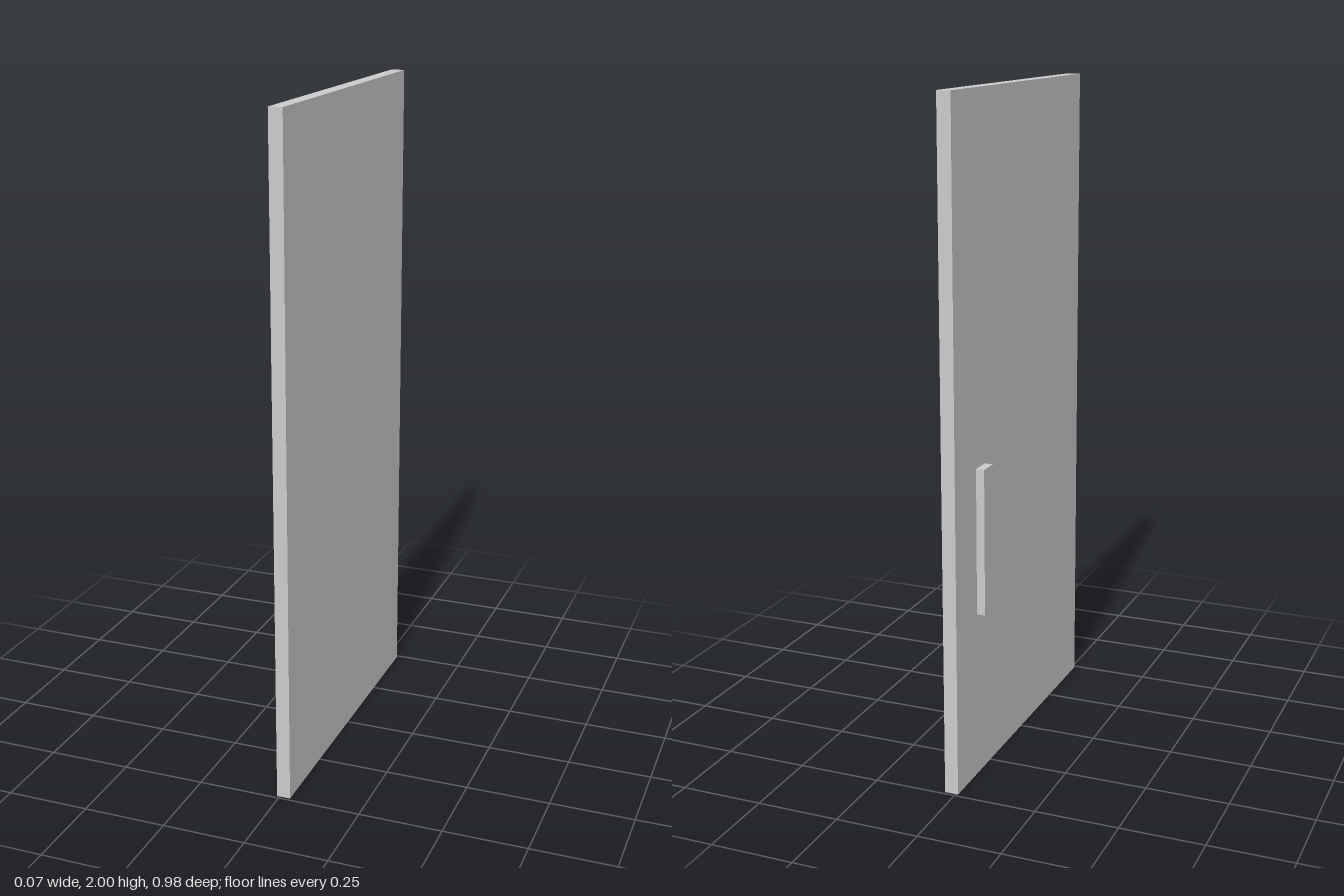
import * as THREE from 'three';

const material = new THREE.MeshStandardMaterial({ color: 0xcccccc, flatShading: true });

// Box given by its lower and upper limits on each axis
function block(name, [x0, x1], [y0, y1], [z0, z1]) {
  const mesh = new THREE.Mesh(new THREE.BoxGeometry(x1 - x0, y1 - y0, z1 - z0), material);
  mesh.position.set((x0 + x1) / 2, (y0 + y1) / 2, (z0 + z1) / 2);
  mesh.name = name;
  return mesh;
}

export function createModel() {
  const door = new THREE.Group();
  door.name = 'door';

  // Flat door leaf
  door.add(block('doorPanel', [-0.008, 0.033], [0, 2], [-0.491, 0.491]));

  // Upright pull bar on the -x face, near the back edge
  door.add(block('handle', [-0.033, -0.008], [0.503, 0.942], [-0.344, -0.281]));

  return door;
}
